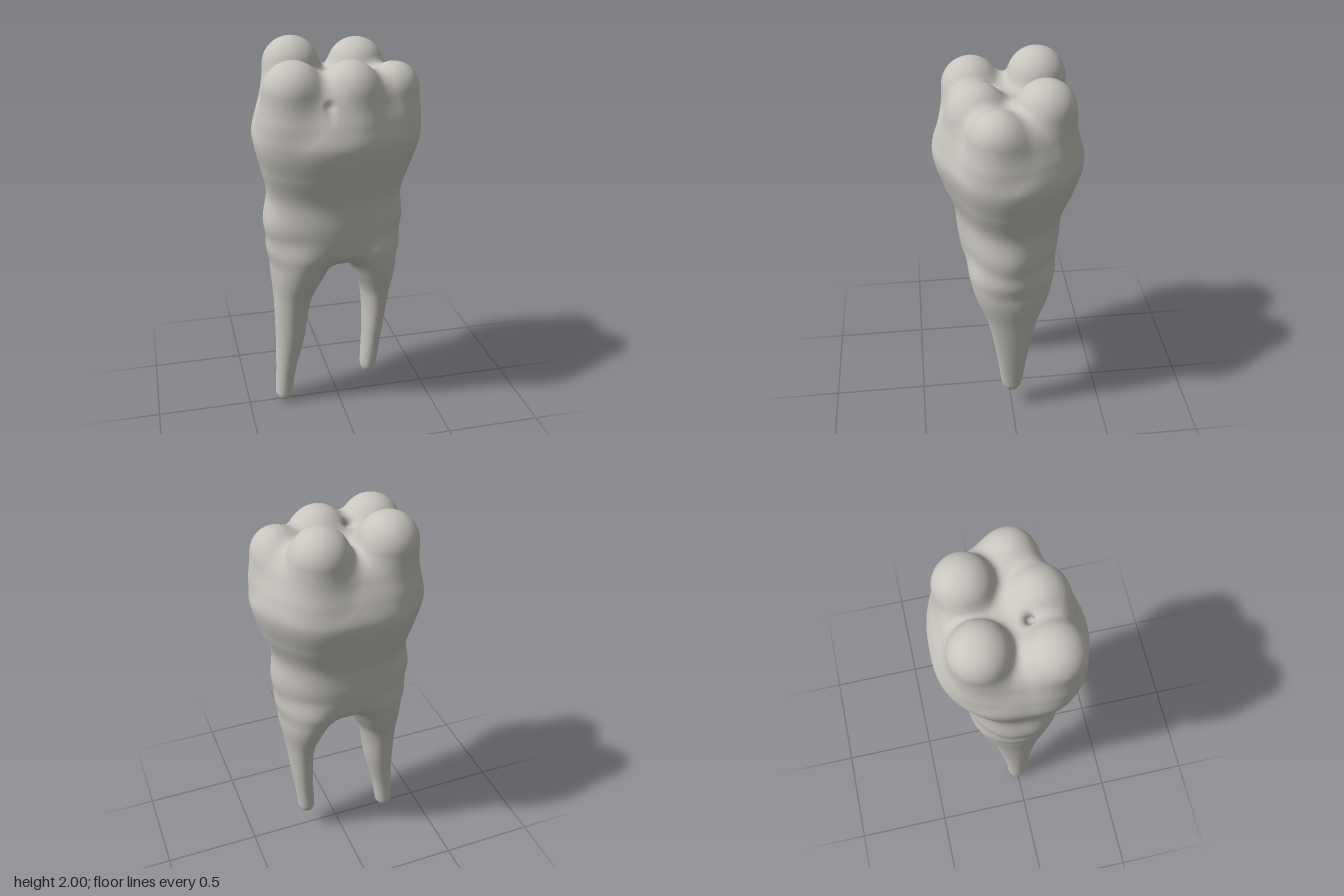
import * as THREE from 'three';

// smooth union / intersection of two distances
const smin = (a, b, k) => {
  const h = Math.max(k - Math.abs(a - b), 0);
  return Math.min(a, b) - h * h / (4 * k);
};
const smax = (a, b, k) => -smin(-a, -b, k);

// smooth interpolation through rows [y, centreX, halfX, halfZ], sorted by y
function section(rows, y) {
  const n = rows.length;
  if (y <= rows[0][0]) return rows[0];
  if (y >= rows[n - 1][0]) return rows[n - 1];
  let i = 0;
  while (rows[i + 1][0] < y) i++;
  const p = rows[Math.max(i - 1, 0)], a = rows[i], b = rows[i + 1], q = rows[Math.min(i + 2, n - 1)];
  const h = b[0] - a[0], t = (y - a[0]) / h, t2 = t * t, t3 = t2 * t;
  const out = [y];
  for (let c = 1; c < 4; c++) {
    const m0 = (b[c] - p[c]) / (b[0] - p[0]) * h, m1 = (q[c] - a[c]) / (q[0] - a[0]) * h;
    out.push((2 * t3 - 3 * t2 + 1) * a[c] + (t3 - 2 * t2 + t) * m0 + (3 * t2 - 2 * t3) * b[c] + (t3 - t2) * m1);
  }
  return out;
}

// crown and neck, bottom to top
const BODY = [
  [0.8, -0.02, 0.3, 0.175], [0.9, -0.022, 0.335, 0.215], [1.0, -0.022, 0.35, 0.245], [1.1, -0.022, 0.365, 0.26],
  [1.25, -0.015, 0.35, 0.273], [1.4, -0.005, 0.39, 0.325], [1.55, 0, 0.426, 0.365],
  [1.65, 0, 0.405, 0.342], [1.75, 0, 0.365, 0.295], [1.85, 0, 0.325, 0.25],
];
// crown outline: radius factor every 30 degrees, from +x towards +z
const OUTLINE = [0.99, 0.98, 0.92, 1, 1.06, 1.09, 1, 1.04, 1.06, 1, 1.01, 0.97];

const ROOTS = [
  { bottom: 0, rows: [[0.05, -0.305, 0.047, 0.054], [0.2, -0.29, 0.055, 0.064], [0.4, -0.263, 0.078, 0.092],
    [0.65, -0.244, 0.102, 0.137], [0.8, -0.212, 0.145, 0.19], [0.9, -0.19, 0.17, 0.218], [1.05, -0.18, 0.17, 0.23]] },
  { bottom: 0.115, rows: [[0.15, 0.18, 0.044, 0.052], [0.2, 0.182, 0.046, 0.06], [0.4, 0.198, 0.055, 0.085],
    [0.65, 0.207, 0.077, 0.13], [0.8, 0.188, 0.121, 0.185], [0.9, 0.162, 0.15, 0.212], [1.05, 0.15, 0.15, 0.225]] },
];

// cusps: x, z, radius, top height
const CUSPS = [
  [-0.2, -0.158, 0.143, 2.0], [0.133, -0.16, 0.143, 1.98],
  [-0.247, 0.158, 0.145, 1.943], [0.03, 0.15, 0.143, 1.932], [0.265, 0.075, 0.124, 1.9],
];

function outlineFactor(angle) {
  const s = ((angle / (Math.PI * 2)) * 12 + 12) % 12, i = Math.floor(s), t = s - i;
  const [p, a, b, q] = [-1, 0, 1, 2].map(o => OUTLINE[(i + o + 12) % 12]);
  return a + 0.5 * t * (b - p + t * (2 * p - 5 * a + 4 * b - q + t * (3 * (a - b) + q - p)));
}

function capsule(x, y, z, a, b, r) {
  const d = [b[0] - a[0], b[1] - a[1], b[2] - a[2]], e = [x - a[0], y - a[1], z - a[2]];
  const t = (e[0] * d[0] + e[1] * d[1] + e[2] * d[2]) / (d[0] * d[0] + d[1] * d[1] + d[2] * d[2]);
  const c = Math.min(Math.max(t, 0), 1);
  return Math.hypot(e[0] - d[0] * c, e[1] - d[1] * c, e[2] - d[2] * c) - r;
}

// distance-like field of the whole tooth, negative inside
function field(x, y, z) {
  const [, cx, hx, hz] = section(BODY, y);
  const u = (x - cx) / hx, v = z / hz;
  const amount = THREE.MathUtils.smoothstep(y, 0.85, 1.5) * 0.6 + 0.4;
  const edge = 1 + (outlineFactor(Math.atan2(v, u)) - 1) * amount;
  let d = (Math.hypot(u, v) - edge) * Math.min(hx, hz);
  d = smax(d, y - 1.83, 0.09);
  d = smax(d, 0.89 - y, 0.08);

  if (y > 1.3) {
    let cusps = 1;
    for (const [px, pz, r, top] of CUSPS)
      cusps = smin(cusps, capsule(x, y, z, [px, top - r, pz], [px, 1.68, pz], r), pz > 0 ? 0.07 : 0.04);
    d = smin(d, cusps, 0.07);
    // small pits on the front face and on the chewing surface
    d = smax(d, -capsule(x, y, z, [-0.1, 1.69, 0.365], [-0.1, 1.755, 0.305], 0.02), 0.025);
    d = smax(d, -capsule(x, y, z, [-0.1, 1.9, 0.05], [-0.092, 1.83, 0.085], 0.02), 0.03);
  }
  if (y < 1.3) {
    for (const { bottom, rows } of ROOTS) {
      const [, rx, rw, rd] = section(rows, y);
      let root = (Math.hypot((x - rx) / rw, z / rd) - 1) * Math.min(rw, rd);
      root = smax(smax(root, bottom - y, 0.06), y - 1.02, 0.1);
      d = smin(d, root, 0.05);
    }
  }
  return d;
}

function gradient(p) {
  const e = 0.002, [x, y, z] = p;
  return [
    (field(x + e, y, z) - field(x - e, y, z)) / (2 * e),
    (field(x, y + e, z) - field(x, y - e, z)) / (2 * e),
    (field(x, y, z + e) - field(x, y, z - e)) / (2 * e),
  ];
}

// skin the field: one vertex per crossed cell, one quad per crossed edge
function skin(min, max, cell) {
  const n = min.map((m, i) => Math.ceil((max[i] - m) / cell) + 1);
  const step = [1, n[0], n[0] * n[1]];
  const values = new Float32Array(n[0] * n[1] * n[2]);
  const eachPoint = fn => {
    for (let k = 0; k < n[2]; k++) for (let j = 0; j < n[1]; j++) for (let i = 0; i < n[0]; i++)
      fn([i, j, k], i + j * step[1] + k * step[2]);
  };
  eachPoint((g, id) => { values[id] = field(...g.map((c, i) => min[i] + c * cell)); });

  const ids = new Int32Array(values.length).fill(-1);
  const positions = [], normals = [], index = [];
  eachPoint((g, id) => {
    if (g.some((c, i) => c >= n[i] - 1)) return;
    // average the edge crossings of this cell
    const sum = [0, 0, 0];
    let count = 0;
    for (let corner = 0; corner < 8; corner++) for (let a = 0; a < 3; a++) {
      if (corner >> a & 1) continue;
      const o = [corner & 1, corner >> 1 & 1, corner >> 2 & 1];
      const q = id + o[0] + o[1] * step[1] + o[2] * step[2];
      const f0 = values[q], f1 = values[q + step[a]];
      if ((f0 < 0) === (f1 < 0)) continue;
      o[a] += f0 / (f0 - f1);
      for (let i = 0; i < 3; i++) sum[i] += o[i];
      count++;
    }
    if (!count) return;
    let p = g.map((c, i) => min[i] + (c + sum[i] / count) * cell);
    // settle onto the surface
    let s = gradient(p);
    const len2 = Math.max(s[0] ** 2 + s[1] ** 2 + s[2] ** 2, 0.1);
    const move = THREE.MathUtils.clamp(field(...p) / len2, -cell / 2, cell / 2);
    p = p.map((c, i) => c - s[i] * move);
    s = gradient(p);
    const l = Math.hypot(...s) || 1;
    ids[id] = positions.length / 3;
    positions.push(...p);
    normals.push(s[0] / l, s[1] / l, s[2] / l);
  });
  eachPoint((g, id) => {
    for (let a = 0; a < 3; a++) {
      const b = (a + 1) % 3, c = (a + 2) % 3;
      if (g[a] >= n[a] - 1 || g[b] < 1 || g[c] < 1) continue;
      const inside = values[id] < 0;
      if (inside === (values[id + step[a]] < 0)) continue;
      const q = [id, id - step[b], id - step[b] - step[c], id - step[c]].map(v => ids[v]);
      if (!inside) q.reverse();
      index.push(q[0], q[1], q[2], q[0], q[2], q[3]);
    }
  });
  const geometry = new THREE.BufferGeometry();
  geometry.setAttribute('position', new THREE.Float32BufferAttribute(positions, 3));
  geometry.setAttribute('normal', new THREE.Float32BufferAttribute(normals, 3));
  geometry.setIndex(index);
  return geometry;
}

export function createModel() {
  const group = new THREE.Group();
  group.name = 'molarTooth';
  const enamel = new THREE.MeshStandardMaterial({ color: 0xc8c5bf });
  enamel.name = 'enamel';
  // crown, neck and both roots form one seamless skin
  const tooth = new THREE.Mesh(skin([-0.5, -0.04, -0.44], [0.5, 2.05, 0.44], 0.0135), enamel);
  tooth.name = 'crownAndRoots';
  group.add(tooth);
  return group;
}
